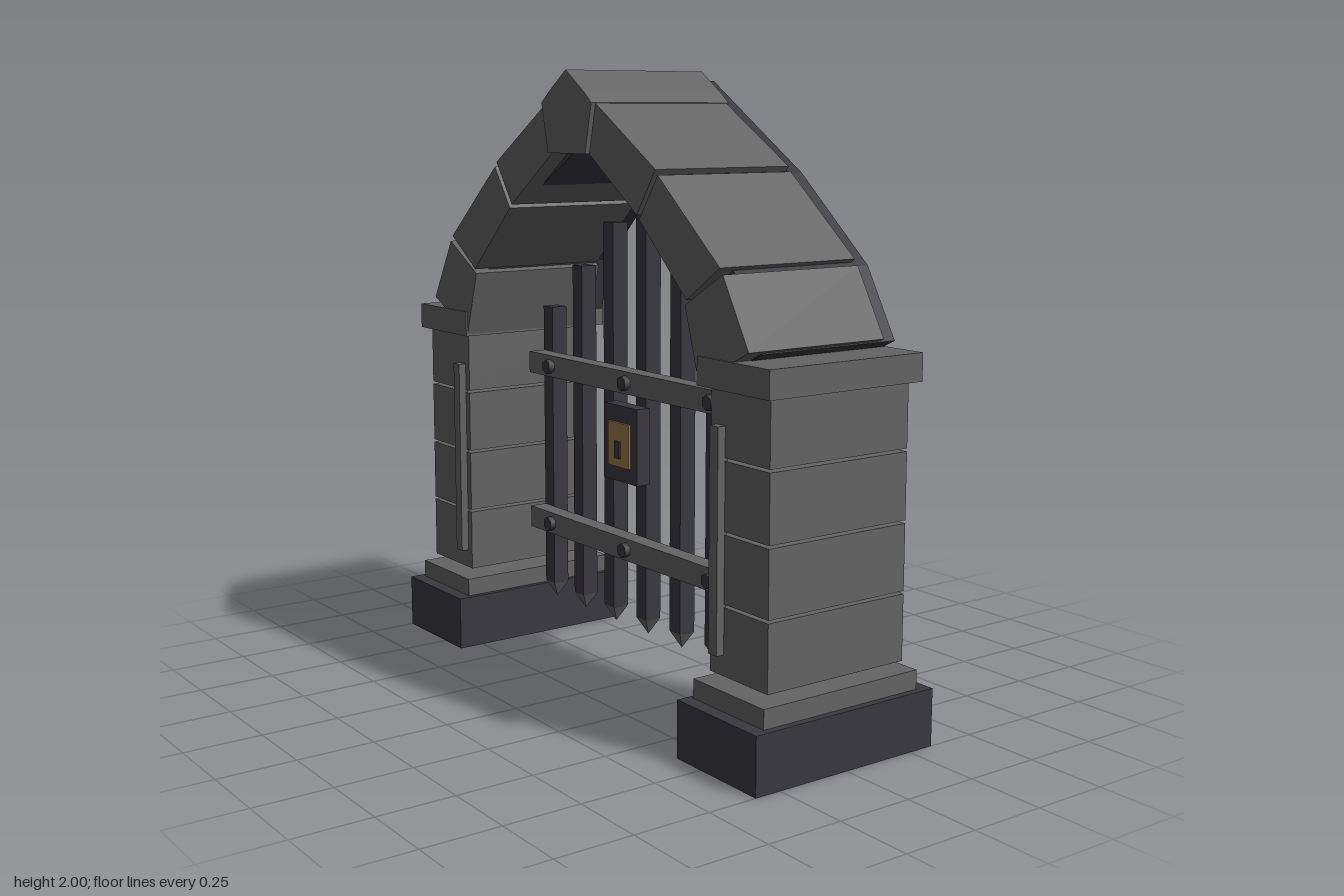
import * as THREE from 'three';

const mat = (name, color) => {
  const m = new THREE.MeshStandardMaterial({ color });
  m.name = name;
  return m;
};

export function createModel() {
  const stone = mat('stone grey', 0x646464);
  const iron = mat('dark iron', 0x3a3840);
  const brass = mat('brass', 0x9a7b4a);
  const gate = new THREE.Group();
  gate.name = 'archedGate';

  const add = (parent, name, geometry, material) => {
    const mesh = new THREE.Mesh(geometry, material);
    mesh.name = name;
    parent.add(mesh);
    return mesh;
  };
  // Box given by its limits on each axis
  const box = (parent, name, material, [x0, x1], [y0, y1], [z0, z1]) =>
    add(parent, name, new THREE.BoxGeometry(x1 - x0, y1 - y0, z1 - z0), material)
      .position.set((x0 + x1) / 2, (y0 + y1) / 2, (z0 + z1) / 2);
  // Outline in x, y extruded from z0 to z1
  const slab = (parent, name, material, points, z0, z1) => {
    const shape = new THREE.Shape(points.map(([x, y]) => new THREE.Vector2(x, y)));
    const geometry = new THREE.ExtrudeGeometry(shape, { depth: z1 - z0, bevelEnabled: false });
    add(parent, name, geometry.translate(0, 0, z0), material);
  };
  const mirrored = (points) => points.map(([x, y]) => [-x, y]).reverse();

  // Pillars
  for (const side of [1, -1]) {
    const pillar = new THREE.Group();
    pillar.name = side > 0 ? 'leftPillar' : 'rightPillar';
    gate.add(pillar);
    const span = (a, b) => (side > 0 ? [a, b] : [-b, -a]);
    box(pillar, 'plinth', iron, span(0.637, 1), [0, 0.18], [-0.338, 0.338]);
    box(pillar, 'footing', stone, span(0.655, 0.977), [0.18, 0.24], [-0.293, 0.293]);
    [[0.267, 0.472], [0.481, 0.685], [0.694, 0.899], [0.908, 1.105]].forEach((y, i) =>
      box(pillar, 'block' + (i + 1), stone, span(0.688, 0.95), y, [-0.258, 0.258]));
    box(pillar, 'cap', stone, span(0.655, 0.977), [1.105, 1.19], [-0.286, 0.286]);
    box(pillar, 'frontStrip', stone, span(0.713, 0.752), [0.33, 1], [0.25, 0.284]);
  }

  // Arch stones, with narrow joints between them
  const arch = new THREE.Group();
  arch.name = 'arch';
  gate.add(arch);
  const stones = [
    [[0.655, 1.112], [0.88, 1.223], [0.763, 1.428], [0.59, 1.328]],
    [[0.597, 1.343], [0.75, 1.446], [0.457, 1.692], [0.365, 1.56]],
    [[0.353, 1.572], [0.446, 1.708], [0.1, 1.922], [0.1, 1.748]],
  ];
  stones.forEach((points, i) => {
    slab(arch, 'leftArchStone' + (i + 1), stone, points, -0.223, 0.28);
    slab(arch, 'rightArchStone' + (i + 1), stone, mirrored(points), -0.223, 0.28);
  });
  const keyHalf = [[0.105, 1.745], [0.14, 1.9], [0.1, 1.932]];
  slab(arch, 'keystone', stone, [...keyHalf, [0, 2], ...mirrored(keyHalf)], -0.23, 0.296);

  // Dark core behind the stones, showing in the joints and at the back
  const outer = [[0.866, 1.212], [0.745, 1.424], [0.443, 1.686]];
  const inner = [[0.368, 1.575], [0.604, 1.346], [0.668, 1.116]];
  slab(arch, 'archCore', iron,
    [...outer, [0, 1.97], ...mirrored(outer), ...mirrored(inner), [0, 1.785], ...inner],
    -0.28, 0.22);

  // Portcullis bars with pointed tips
  const grille = new THREE.Group();
  grille.name = 'portcullis';
  gate.add(grille);
  for (let i = -3; i <= 3; i++) {
    const x = i * 0.1865;
    const top = [1.67, 1.513, 1.357, 1.2][Math.abs(i)];
    box(grille, 'bar', iron, [x - 0.028, x + 0.028], [0.208, top], [-0.046, 0.012]);
    const tip = new THREE.ConeGeometry(0.04, 0.055, 4).toNonIndexed();
    tip.rotateY(Math.PI / 4).rotateX(Math.PI);
    tip.computeVertexNormals();
    add(grille, 'barTip', tip, stone).position.set(x, 0.1805, -0.017);
  }

  // Cross rails and bolts
  for (const y of [0.453, 1.007]) {
    box(grille, 'rail', stone, [-0.588, 0.588], [y - 0.037, y + 0.037], [0.012, 0.072]);
    for (const x of [-0.45, 0, 0.45]) {
      const bolt = new THREE.CylinderGeometry(0.025, 0.025, 0.025, 6).rotateX(Math.PI / 2);
      add(grille, 'bolt', bolt, iron).position.set(x, y, 0.08);
    }
  }

  // Lock
  const lock = new THREE.Group();
  lock.name = 'lock';
  gate.add(lock);
  box(lock, 'lockPlate', iron, [-0.093, 0.093], [0.685, 0.935], [0.045, 0.095]);
  box(lock, 'lockFace', brass, [-0.058, 0.058], [0.735, 0.88], [0.095, 0.104]);
  box(lock, 'keyhole', iron, [-0.014, 0.014], [0.763, 0.82], [0.104, 0.11]);

  return gate;
}
